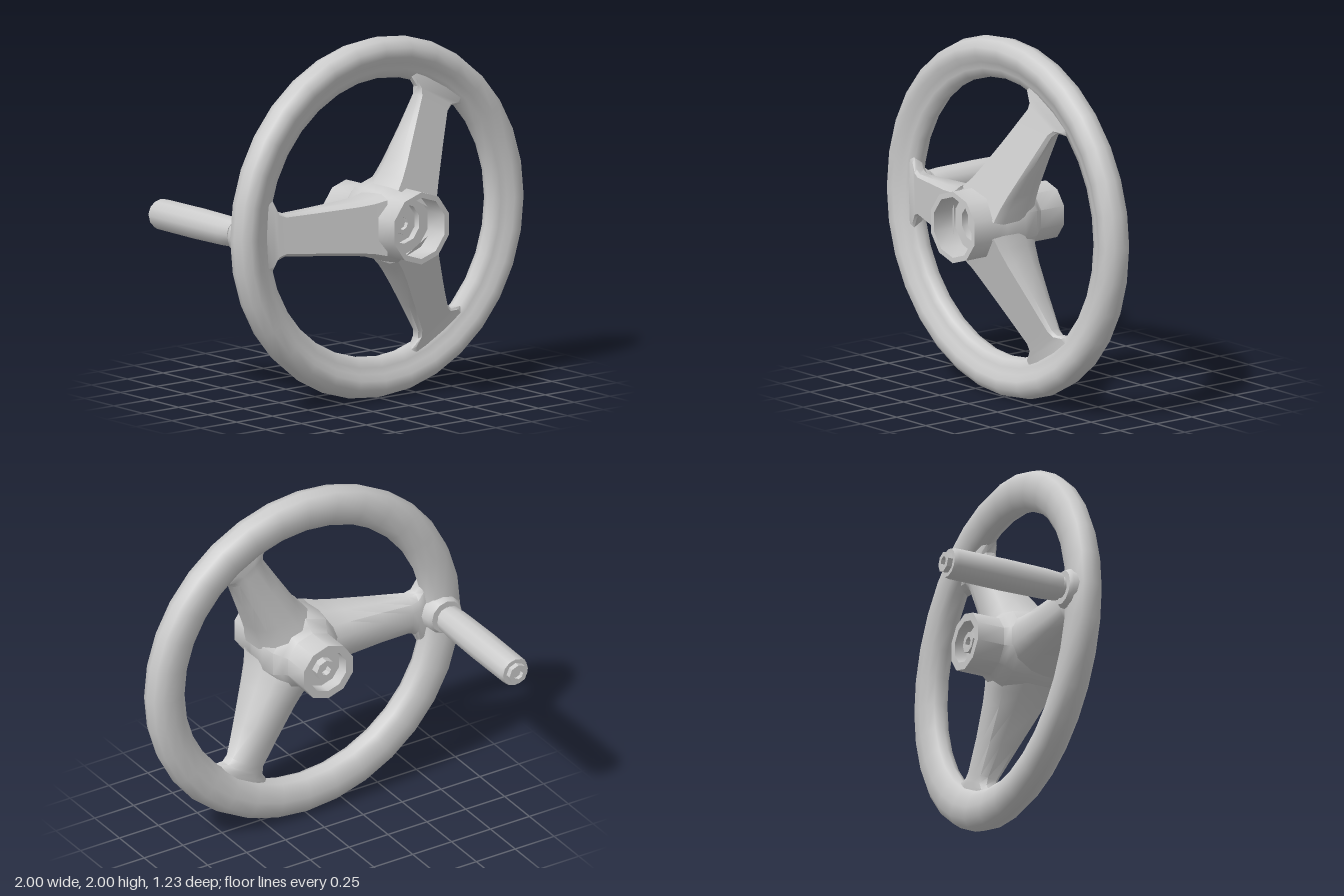
import * as THREE from 'three';
import { toCreasedNormals } from 'three/addons/utils/BufferGeometryUtils.js';

const material = new THREE.MeshStandardMaterial({ color: 0xcccccc, side: THREE.DoubleSide });

// Turned part around the z axis; profile is [radius, z], rising on the outside
function turned(name, profile, sides, crease = 0.75) {
  const lathe = new THREE.LatheGeometry(profile.map(([r, z]) => new THREE.Vector2(r, z)), sides);
  lathe.rotateX(Math.PI / 2);
  const mesh = new THREE.Mesh(toCreasedNormals(lathe, crease), material);
  mesh.name = name;
  return mesh;
}

// Spoke along +x, lofted through stations [radius, halfWidth, zFront, zBack]
function spokeGeometry() {
  const stations = [
    [0.14, 0.18, 0.49, 0.15],
    [0.21, 0.16, 0.465, 0.16],
    [0.30, 0.148, 0.435, 0.17],
    [0.50, 0.132, 0.365, 0.18],
    [0.69, 0.118, 0.30, 0.185],
    [0.73, 0.135, 0.287, 0.185],
    [0.76, 0.195, 0.278, 0.185],
    [0.83, 0.22, 0.262, 0.19],
  ];
  // Cross-section: flat bevelled front, rounded back; [across, frontness]
  const section = [[-0.86, 1], [0.86, 1], [1, 0.85], [0.95, 0.4], [0.7, 0.12], [0.3, 0],
    [-0.3, 0], [-0.7, 0.12], [-0.95, 0.4], [-1, 0.85]];
  const n = section.length, positions = [], index = [];
  for (const [r, w, front, back] of stations)
    for (const [a, f] of section) positions.push(r, a * w, back + (front - back) * f);
  for (let i = 0; i < stations.length - 1; i++) {
    for (let j = 0; j < n; j++) {
      const a = i * n + j, b = i * n + (j + 1) % n;
      index.push(a, a + n, b, b, a + n, b + n);
    }
  }
  const geometry = new THREE.BufferGeometry();
  geometry.setAttribute('position', new THREE.Float32BufferAttribute(positions, 3));
  geometry.setIndex(index);
  return toCreasedNormals(geometry, 0.7);
}

export function createModel() {
  const model = new THREE.Group();
  model.name = 'handwheel';
  const wheel = new THREE.Group();
  wheel.name = 'wheel';
  wheel.position.y = 1;
  model.add(wheel);

  // Rim with a round grip and a thinner inner lip
  wheel.add(turned('rim', [
    [0.88, 0.14], [0.945, 0.142], [0.985, 0.175], [1.0, 0.225], [0.985, 0.275], [0.945, 0.308],
    [0.895, 0.308], [0.86, 0.285], [0.825, 0.275], [0.785, 0.262], [0.77, 0.225],
    [0.785, 0.18], [0.82, 0.152], [0.88, 0.14],
  ], 32, 1.2));

  // Hub with a recess at each end
  wheel.add(turned('hub', [
    [0, 0.03], [0.12, 0.03], [0.12, -0.04], [0.165, -0.04], [0.165, 0.12], [0.185, 0.15],
    [0.22, 0.19], [0.235, 0.28], [0.225, 0.4], [0.2, 0.46], [0.2, 0.61],
    [0.17, 0.61], [0.17, 0.46], [0.11, 0.46], [0.11, 0.42], [0, 0.42],
  ], 10));

  // Shaft ends seen in the recesses
  wheel.add(turned('rearShaftEnd', [
    [0, 0.02], [0.03, 0.02], [0.03, -0.02], [0.06, -0.02], [0.06, 0.03],
  ], 8));
  wheel.add(turned('frontShaftEnd', [
    [0.06, 0.42], [0.06, 0.45], [0.035, 0.45], [0.035, 0.425], [0, 0.425],
  ], 8));

  // Three spokes, falling from hub to rim
  const spoke = spokeGeometry();
  for (let i = 0; i < 3; i++) {
    const mesh = new THREE.Mesh(spoke, material);
    mesh.name = 'spoke' + (i + 1);
    mesh.rotation.z = Math.PI / 3 + i * Math.PI * 2 / 3;
    wheel.add(mesh);
  }

  // Crank handle on the back of the rim
  const handle = new THREE.Group();
  handle.name = 'crankHandle';
  handle.position.x = -0.857;
  handle.add(turned('handleBoss', [
    [0, 0.11], [0.095, 0.11], [0.108, 0.13], [0.115, 0.19],
  ], 12));
  handle.add(turned('handleNeck', [[0.06, 0.07], [0.06, 0.12]], 10));
  handle.add(turned('handleGrip', [
    [0, -0.585], [0.08, -0.585], [0.086, -0.56], [0.088, -0.25], [0.084, 0.0], [0.078, 0.085], [0, 0.085],
  ], 12));
  handle.add(turned('handleEndCap', [
    [0, -0.59], [0.03, -0.59], [0.03, -0.615], [0.058, -0.615], [0.058, -0.58],
  ], 8));
  wheel.add(handle);

  return model;
}
